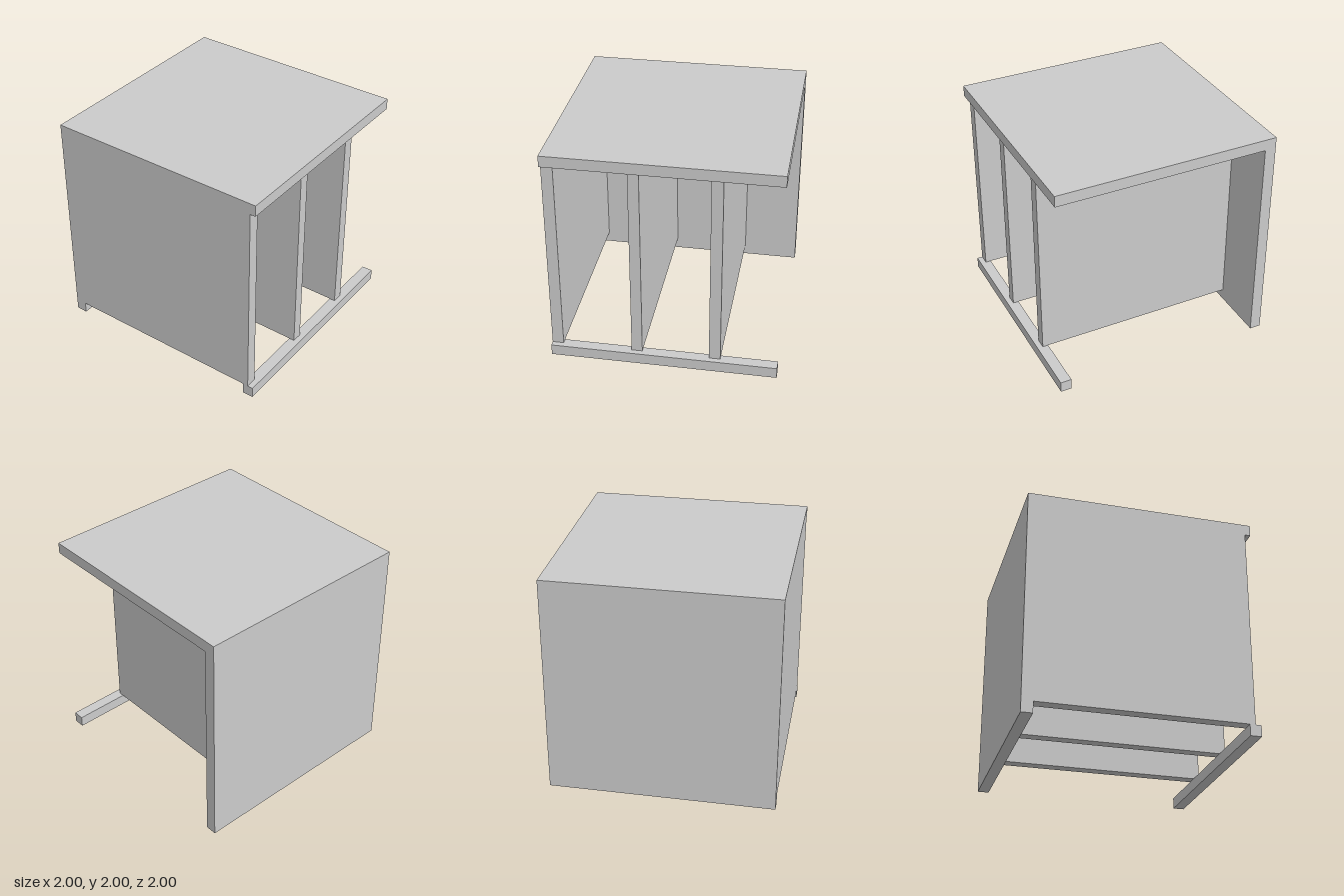
import * as THREE from 'three';

const material = new THREE.MeshStandardMaterial({ color: 0xcccccc, flatShading: true });

// Box given by its minimum and maximum on each axis
function board(name, [x0, x1], [y0, y1], [z0, z1]) {
  const mesh = new THREE.Mesh(new THREE.BoxGeometry(x1 - x0, y1 - y0, z1 - z0), material);
  mesh.position.set((x0 + x1) / 2, (y0 + y1) / 2, (z0 + z1) / 2);
  mesh.name = name;
  return mesh;
}

export function createModel() {
  const group = new THREE.Group();
  group.name = 'cabinet';
  const t = 0.1; // board thickness
  const depth = [-1, 1];

  // Top slab, full side wall and the floor rail on the open side
  group.add(board('top', [-1, 1], [2 - t, 2], depth));
  group.add(board('sideWall', [-1, -1 + t], [0, 2 - t], depth));
  group.add(board('floorRail', [1 - t, 1], [0, t], depth));

  // Upright panels from the side wall to just short of the open edge
  const panels = [['frontPanel', 0.9, 1], ['middlePanel', 0.19, 0.285], ['rearPanel', -0.5, -0.4]];
  for (const [name, z0, z1] of panels) {
    group.add(board(name, [-1 + t, 0.95], [t, 2 - t], [z0, z1]));
  }
  return group;
}
